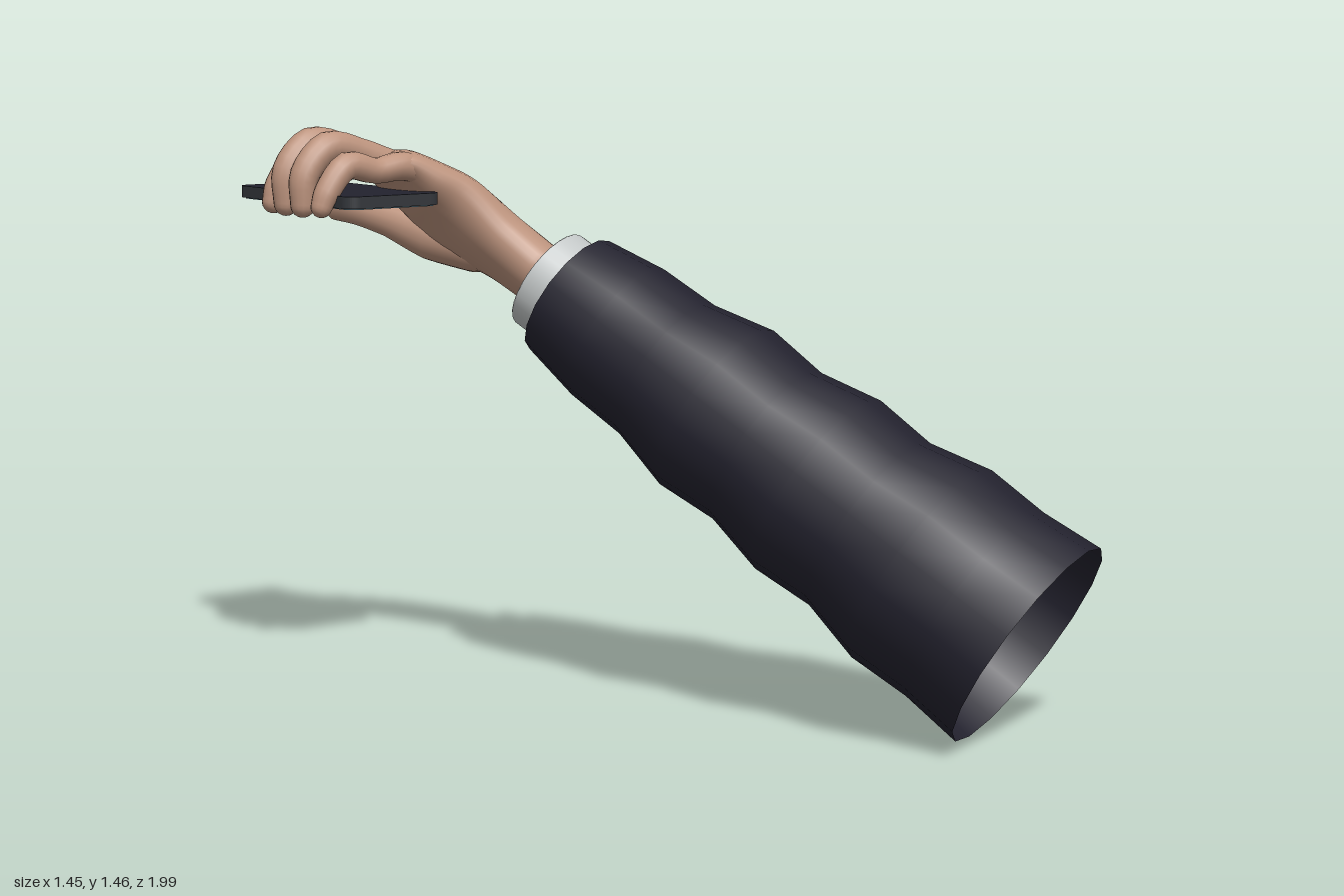
import * as THREE from 'three';

const V = (a) => new THREE.Vector3(...a);
const mat = (name, color, side = THREE.FrontSide) => {
  const m = new THREE.MeshStandardMaterial({ color, side });
  m.name = name;
  return m;
};

// Skin over a list of elliptical rings { c, u, v }
function loft(rings, sides = 18) {
  const flow = rings[2].c.clone().sub(rings[1].c);
  const flip = rings[1].u.clone().cross(rings[1].v).dot(flow) < 0 ? -1 : 1;
  const pos = [], idx = [];
  rings.forEach(({ c, u, v }, i) => {
    for (let j = 0; j < sides; j++) {
      const a = (j / sides) * Math.PI * 2;
      const p = c.clone().addScaledVector(u, Math.cos(a) * flip).addScaledVector(v, Math.sin(a));
      pos.push(p.x, p.y, p.z);
      if (i < rings.length - 1) {
        const k = (j + 1) % sides, r = i * sides, n = r + sides;
        idx.push(r + j, r + k, n + j, r + k, n + k, n + j);
      }
    }
  });
  const g = new THREE.BufferGeometry();
  g.setAttribute('position', new THREE.Float32BufferAttribute(pos, 3));
  g.setIndex(idx);
  g.computeVertexNormals();
  return g;
}

// Tapered limb along a smooth path of [x, y, z, radius], with a round tip
function digit(points, ref) {
  const curve = new THREE.CatmullRomCurve3(points.map((p) => V(p.slice(0, 3))));
  const rings = [];
  const ring = (c, t, r) => {
    const u = ref.clone().addScaledVector(t, -ref.dot(t)).normalize();
    const v = t.clone().cross(u);
    rings.push({ c, u: u.multiplyScalar(r), v: v.multiplyScalar(r) });
  };
  const steps = 20, last = points.length - 1;
  for (let i = 0; i <= steps; i++) {
    const f = (i / steps) * last, k = Math.min(Math.floor(f), last - 1);
    const r = THREE.MathUtils.lerp(points[k][3], points[k + 1][3], f - k);
    ring(curve.getPoint(i / steps), curve.getTangent(i / steps), r);
  }
  const end = curve.getPoint(1), dir = curve.getTangent(1), r = points[last][3];
  for (let i = 1; i <= 5; i++) {
    const a = (i / 5) * Math.PI / 2;
    ring(end.clone().addScaledVector(dir, r * Math.sin(a)), dir, Math.max(r * Math.cos(a), 1e-4));
  }
  return loft(rings, 14);
}

// Rounded slab lying flat, its underside at y = 0
function slab(w, d, h, r) {
  const s = new THREE.Shape(), x = w / 2, y = d / 2;
  s.absarc(x - r, y - r, r, 0, Math.PI / 2);
  s.absarc(-x + r, y - r, r, Math.PI / 2, Math.PI);
  s.absarc(-x + r, -y + r, r, Math.PI, Math.PI * 1.5);
  s.absarc(x - r, -y + r, r, Math.PI * 1.5, Math.PI * 2);
  return new THREE.ExtrudeGeometry(s, { depth: h, bevelEnabled: false, curveSegments: 6 }).rotateX(-Math.PI / 2);
}

export function createModel() {
  const model = new THREE.Group();
  const fabric = mat('sleeveFabric', 0x23222e, THREE.DoubleSide);
  const linen = mat('cuffLinen', 0xc2c6c6);
  const skin = mat('skin', 0xbd947e);
  const shell = mat('phoneShell', 0x22222e);
  const frame = mat('phoneFrame', 0x34373c);
  const glass = mat('screenGlass', 0x48636f);
  const lensRing = mat('lensRing', 0x45454f);
  const flashLight = mat('flash', 0xd8d8d8);
  const add = (parent, name, geo, material, x = 0, y = 0, z = 0) => {
    const m = new THREE.Mesh(geo, material);
    m.name = name;
    m.position.set(x, y, z);
    parent.add(m);
    return m;
  };

  // Arm: built upright, then tilted along the forearm axis
  const base = V([0.455, 0.245, 0.8]);
  const axis = V([-0.09, 1.03, -0.32]).sub(base);
  const len = axis.length();
  const arm = new THREE.Group();
  arm.name = 'arm';
  arm.position.copy(base);
  arm.quaternion.setFromUnitVectors(V([0, 1, 0]), axis.normalize());
  model.add(arm);
  const radii = [0.29, 0.277, 0.284, 0.247, 0.258, 0.225, 0.238, 0.2, 0.196, 0.17];
  const profile = radii.map((r, i) => new THREE.Vector2(r, (i / 9) * len));
  add(arm, 'sleeve', new THREE.LatheGeometry(profile, 16), fabric);
  const cuff = [[0.138, -0.12], [0.138, 0.07], [0.135, 0.074], [0.122, 0.074], [0.119, 0.07], [0.119, -0.12]];
  add(arm, 'cuff', new THREE.LatheGeometry(cuff.map(([r, y]) => new THREE.Vector2(r, len + y)), 28), linen);

  // Palm: centre, half-width toward the thumb, half-thickness toward the back of the hand
  const hand = new THREE.Group();
  hand.name = 'hand';
  model.add(hand);
  const sections = [
    [[-0.07, 1.0, -0.28], [0.066, -0.047, -0.062], [0.05, 0.054, 0.013]],
    [[-0.115, 1.067, -0.385], [0.066, -0.047, -0.062], [0.052, 0.056, 0.013]],
    [[-0.172, 1.14, -0.48], [0.07, -0.055, -0.08], [0.05, 0.06, 0.012]],
    [[-0.25, 1.22, -0.575], [0.06, -0.07, -0.12], [0.045, 0.068, 0.008]],
    [[-0.33, 1.288, -0.615], [0.05, -0.045, -0.138], [0.033, 0.062, 0]],
    [[-0.41, 1.347, -0.64], [0.03, -0.02, -0.142], [0.018, 0.046, 0]],
    [[-0.455, 1.358, -0.64], [0.02, -0.012, -0.125], [0.008, 0.03, 0]],
    [[-0.468, 1.36, -0.64], [0.001, 0, -0.01], [0, 0.002, 0]],
  ];
  const tracks = [0, 1, 2].map((k) => new THREE.CatmullRomCurve3(sections.map((s) => V(s[k]))));
  const rings = [];
  for (let i = 0; i <= 42; i++) {
    const [c, u, v] = tracks.map((t) => t.getPoint(i / 42));
    rings.push({ c, u, v });
  }
  add(hand, 'palm', loft(rings, 28), skin);

  // Fingers: z at knuckle and tip, height of the middle joint, reach, thickness
  const fingers = [
    ['indexFinger', -0.742, -0.765, 1.372, 0.0, 0.037],
    ['middleFinger', -0.678, -0.692, 1.415, 0.018, 0.039],
    ['ringFinger', -0.609, -0.614, 1.408, 0.014, 0.039],
    ['littleFinger', -0.535, -0.534, 1.366, 0.0, 0.034],
  ];
  for (const [name, z0, z1, top, reach, r] of fingers) {
    add(hand, name, digit([
      [-0.37, 1.335, z0, r],
      [-0.45, 1.36, z0, r * 1.08],
      [-0.53, top - 0.015, (z0 + z1) / 2, r * 0.95],
      [-0.612 - reach * 0.5, top, z1, r * 1.05],
      [-0.672 - reach, top - 0.065, z1, r * 0.95],
      [-0.687 - reach * 0.4, 1.268, z1, r * 0.8],
    ], V([0, 0, 1])), skin);
  }
  // Thumb with its mound
  add(hand, 'thumb', digit([
    [-0.15, 1.12, -0.5, 0.045],
    [-0.2, 1.14, -0.58, 0.066],
    [-0.268, 1.168, -0.68, 0.066],
    [-0.33, 1.205, -0.775, 0.048],
    [-0.37, 1.224, -0.86, 0.04],
    [-0.39, 1.228, -0.94, 0.034],
  ], V([0, 1, 0])), skin);

  // Phone, held screen down
  const phone = new THREE.Group();
  phone.name = 'phone';
  phone.position.set(-0.52, 1.265, -0.727);
  model.add(phone);
  add(phone, 'phoneBody', slab(0.275, 0.546, 0.03, 0.035), [shell, frame]);
  add(phone, 'screen', slab(0.257, 0.528, 0.004, 0.028), glass, 0, -0.003, 0);
  add(phone, 'cameraPlate', slab(0.11, 0.11, 0.009, 0.025), shell, 0.073, 0.029, -0.204);
  for (const [x, z] of [[0.095, -0.225], [0.052, -0.182]]) {
    add(phone, 'lensRim', new THREE.CylinderGeometry(0.02, 0.02, 0.006, 20), lensRing, x, 0.039, z);
    add(phone, 'lens', new THREE.CylinderGeometry(0.0175, 0.0175, 0.006, 20), shell, x, 0.04, z);
  }
  add(phone, 'flash', new THREE.CylinderGeometry(0.006, 0.006, 0.004, 12), flashLight, 0.097, 0.038, -0.181);
  return model;
}
